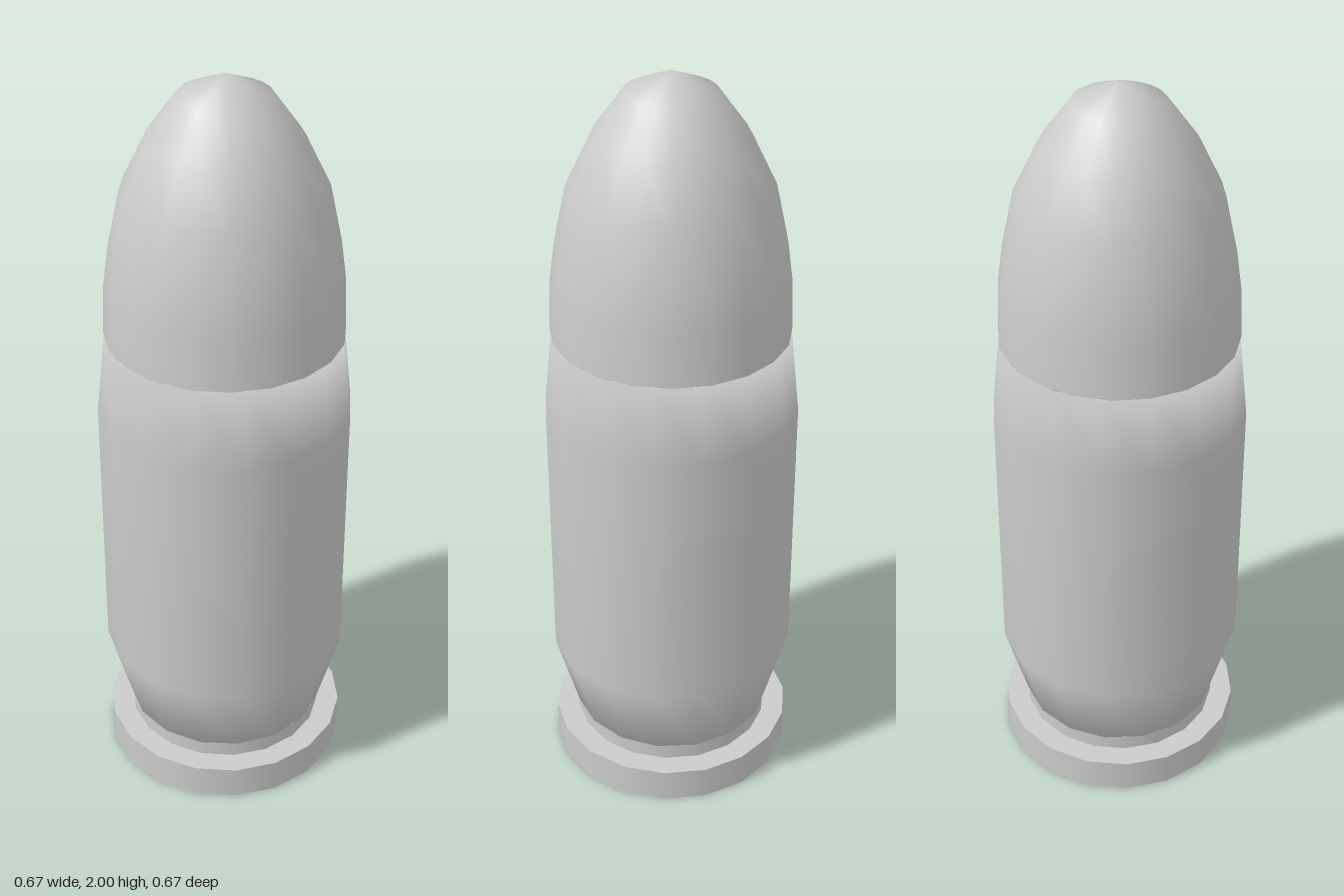
import * as THREE from 'three';
import { mergeVertices } from 'three/addons/utils/BufferGeometryUtils.js';

const material = new THREE.MeshStandardMaterial({ color: 0xcccccc });

// Surface of revolution from [radius, y] pairs, welded so it shades smoothly across every ring.
function lathe(name, profile, sides) {
  const points = profile.map(([r, y]) => new THREE.Vector2(r, y));
  const raw = new THREE.LatheGeometry(points, sides);
  raw.deleteAttribute('normal');
  raw.deleteAttribute('uv');
  const geometry = mergeVertices(raw);
  geometry.computeVertexNormals();
  const mesh = new THREE.Mesh(geometry, material);
  mesh.name = name;
  return mesh;
}

function disc(name, radius, y, height, sides) {
  const mesh = new THREE.Mesh(new THREE.CylinderGeometry(radius, radius, height, sides), material);
  mesh.position.y = y + height / 2;
  mesh.name = name;
  return mesh;
}

export function createModel() {
  const group = new THREE.Group();
  group.name = 'cartridge';

  // Base rim and the groove above it
  group.add(disc('rim', 0.33, 0, 0.095, 18));
  group.add(disc('groove', 0.268, 0.09, 0.05, 18));

  // Case: tapered foot, straight wall, shoulder, and a mouth that turns inward under the bullet
  group.add(lathe('case', [
    [0.15, 0.14], [0.272, 0.14], [0.333, 0.36], [0.333, 1.1], [0.31, 1.315], [0.2, 1.05],
  ], 16));

  // Bullet seated in the mouth of the case
  group.add(lathe('bullet', [
    [0.31, 1.315], [0.305, 1.45], [0.29, 1.56], [0.258, 1.71],
    [0.195, 1.84], [0.115, 1.95], [0, 2],
  ], 20));

  return group;
}
